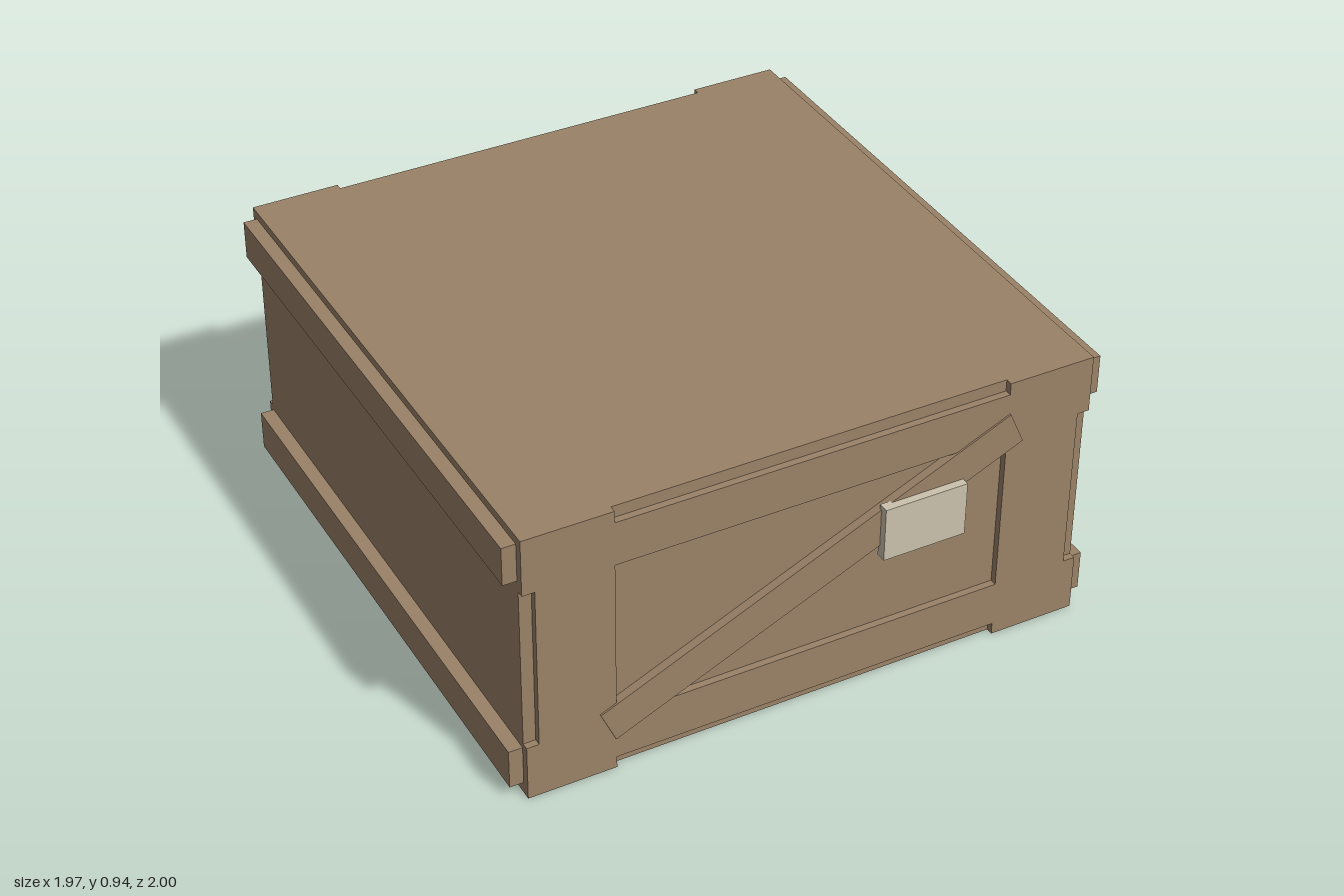
import * as THREE from 'three';

const W = 0.94, H = 0.945, MID = H / 2, CORE_Z = 0.945, FRAME_Z = 0.968;

// Frame outline with a shallow notch in the middle of each edge and a central opening
function frameGeometry() {
  const quarter = [[W, 0.28], [0.9, 0.28], [0.9, -0.28], [W, -0.28]];
  const bottom = [[W, -MID], [0.65, -MID], [0.65, 0.04 - MID], [-0.65, 0.04 - MID], [-0.65, -MID], [-W, -MID]];
  const half = [...quarter, ...bottom];
  const outline = [...half, ...half.map(([x, y]) => [-x, -y])];
  const shape = new THREE.Shape(outline.map(([x, y]) => new THREE.Vector2(x, y + MID)));
  const hole = [[-0.65, 0.195], [0.65, 0.195], [0.65, 0.755], [-0.65, 0.755]];
  shape.holes.push(new THREE.Path(hole.map(([x, y]) => new THREE.Vector2(x, y))));
  return new THREE.ExtrudeGeometry(shape, { depth: FRAME_Z - CORE_Z, bevelEnabled: false });
}

export function createModel() {
  const model = new THREE.Group();
  const wood = new THREE.MeshStandardMaterial({ color: 0x9b8268 });
  wood.name = 'brown wood';
  const paper = new THREE.MeshStandardMaterial({ color: 0xcbc3ad });
  paper.name = 'pale label';

  const add = (name, geometry, material, x, y, z) => {
    const mesh = new THREE.Mesh(geometry, material);
    mesh.name = name;
    mesh.position.set(x, y, z);
    model.add(mesh);
    return mesh;
  };
  const box = (name, w, h, d, material, x, y, z) =>
    add(name, new THREE.BoxGeometry(w, h, d), material, x, y, z);

  // Solid crate body
  box('crateBody', 2 * W, H, 2 * CORE_Z, wood, 0, MID, 0);

  // Long rails on both sides
  for (const side of [1, -1]) {
    const label = side > 0 ? 'left' : 'right';
    box(label + 'LowerRail', 0.045, 0.135, 1.88, wood, side * 0.9625, 0.1075, 0);
    box(label + 'UpperRail', 0.045, 0.13, 1.88, wood, side * 0.9625, 0.853, 0);
  }

  // Matching frame, diagonal brace and label plate on front and back
  const frame = frameGeometry();
  for (const side of [1, -1]) {
    const label = side > 0 ? 'front' : 'back';
    add(label + 'Frame', frame, wood, 0, 0, side > 0 ? CORE_Z : -FRAME_Z);
    const brace = box(label + 'Brace', 1.49, 0.12, 0.034, wood, 0, 0.475, side * 0.957);
    brace.rotation.z = Math.atan(0.45);
    box(label + 'LabelPlate', 0.28, 0.185, 0.035, paper, 0.36, 0.5625, side * 0.9825);
  }
  return model;
}
